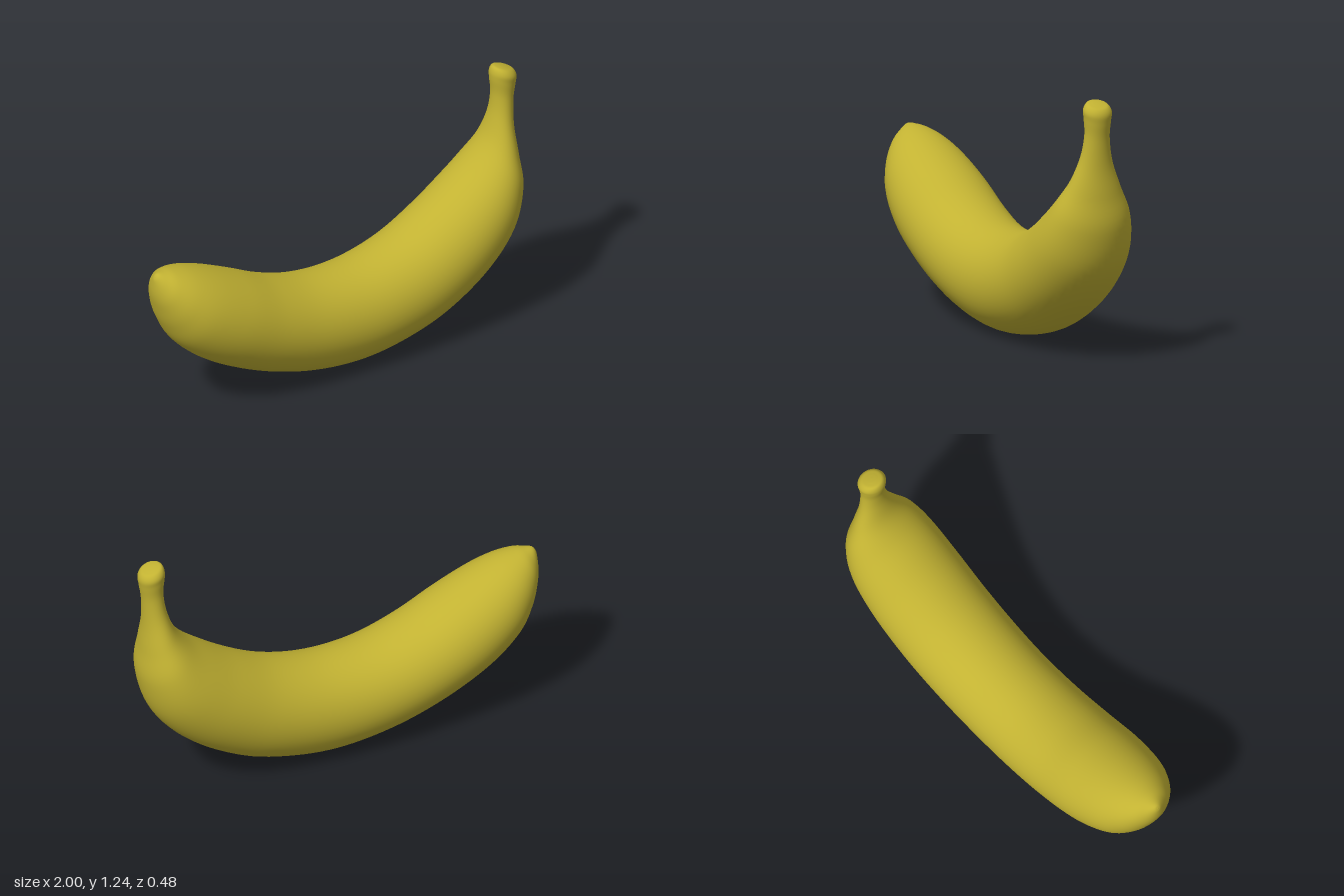
import * as THREE from 'three';

// Cross-sections from blossom tip to stem: inner x, inner y, outer x, outer y, half width
const sections = [
  [-0.993, 0.752, -0.993, 0.752, 0],
  [-0.98, 0.764, -1.0, 0.728, 0.02],
  [-0.95, 0.767, -1.0, 0.66, 0.06],
  [-0.9, 0.766, -0.985, 0.59, 0.11],
  [-0.81, 0.747, -0.95, 0.49, 0.165],
  [-0.69, 0.703, -0.88, 0.375, 0.21],
  [-0.53, 0.63, -0.73, 0.25, 0.237],
  [-0.36, 0.548, -0.5, 0.13, 0.242],
  [-0.18, 0.492, -0.24, 0.042, 0.24],
  [0, 0.475, 0.03, 0.003, 0.238],
  [0.17, 0.489, 0.28, 0.026, 0.24],
  [0.35, 0.54, 0.53, 0.102, 0.242],
  [0.52, 0.627, 0.77, 0.25, 0.24],
  [0.66, 0.72, 0.93, 0.43, 0.225],
  [0.76, 0.8, 0.992, 0.63, 0.187],
  [0.83, 0.89, 0.985, 0.79, 0.127],
  [0.868, 1.0, 0.975, 0.93, 0.079],
  [0.88, 1.1, 0.979, 1.06, 0.06],
  [0.873, 1.18, 0.991, 1.14, 0.064],
  [0.874, 1.217, 0.996, 1.182, 0.067],
  [0.886, 1.241, 0.985, 1.21, 0.052],
  [0.91, 1.241, 0.963, 1.223, 0.028],
  [0.936, 1.234, 0.936, 1.234, 0],
];

// Smooth loft of elliptical rings between the inner and outer edges
function loft(rows, ringCount, sides) {
  const spline = (pick) => new THREE.CatmullRomCurve3(rows.map(pick), false, 'catmullrom', 0.5);
  const inner = spline((r) => new THREE.Vector3(r[0], r[1], r[4]));
  const outer = spline((r) => new THREE.Vector3(r[2], r[3], r[4]));
  const positions = [];
  const indices = [];
  for (let j = 0; j <= ringCount; j++) {
    const a = inner.getPoint(j / ringCount);
    const b = outer.getPoint(j / ringCount);
    for (let i = 0; i < sides; i++) {
      const angle = (i / sides) * Math.PI * 2;
      const t = (1 - Math.cos(angle)) / 2;
      positions.push(a.x + (b.x - a.x) * t, a.y + (b.y - a.y) * t, a.z * Math.sin(angle));
      if (j === ringCount) continue;
      const p = j * sides + i;
      const q = j * sides + ((i + 1) % sides);
      indices.push(p, q, p + sides, q, q + sides, p + sides);
    }
  }
  const geometry = new THREE.BufferGeometry();
  geometry.setAttribute('position', new THREE.Float32BufferAttribute(positions, 3));
  geometry.setIndex(indices);
  geometry.computeVertexNormals();
  return geometry;
}

export function createModel() {
  const group = new THREE.Group();
  group.name = 'banana';
  // Peel and stem form one continuous skin
  const peel = new THREE.Mesh(
    loft(sections, (sections.length - 1) * 6, 48),
    new THREE.MeshStandardMaterial({ color: 0xc2b232 }),
  );
  peel.name = 'peelWithStem';
  group.add(peel);
  return group;
}
